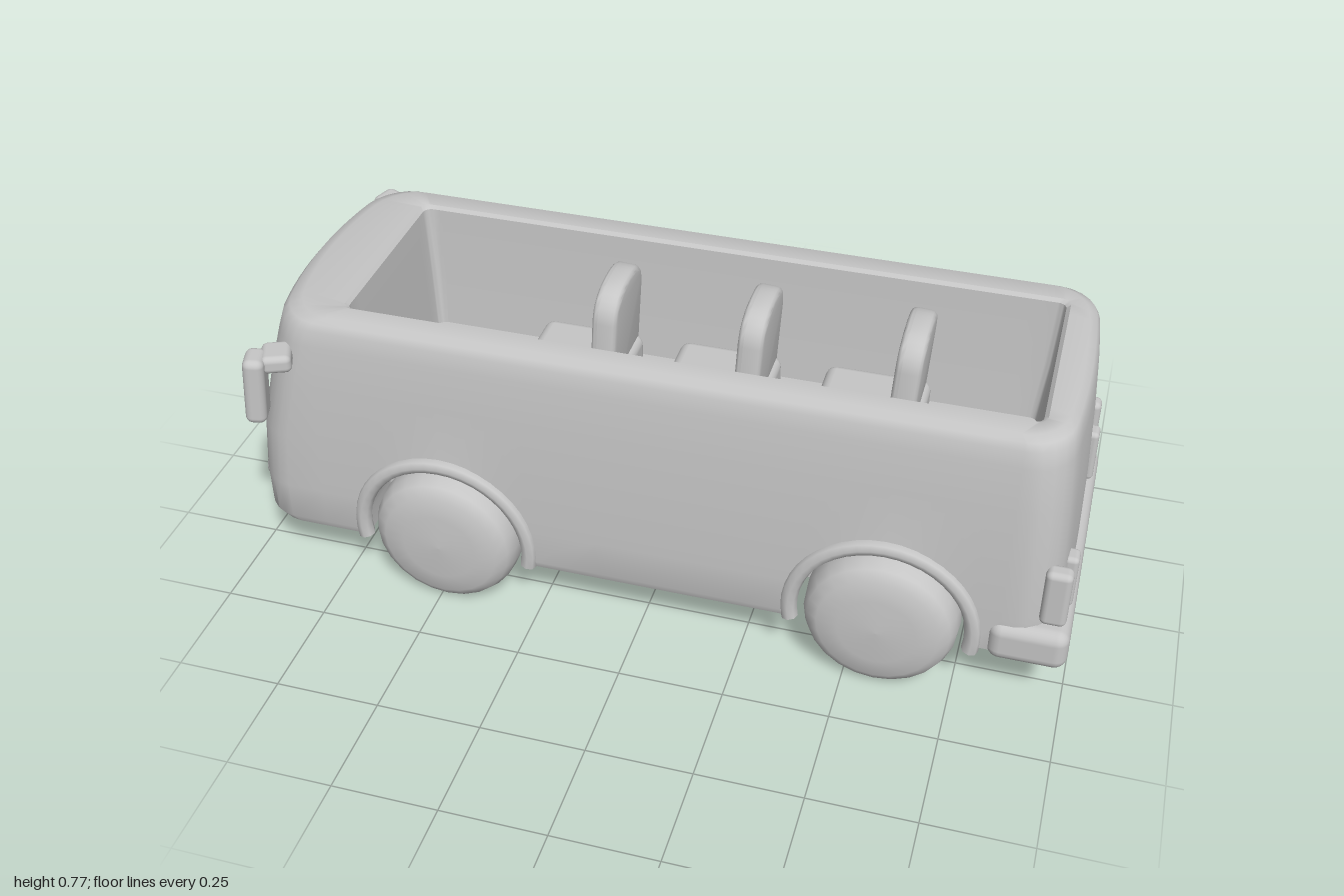
import * as THREE from 'three';
import { toCreasedNormals } from 'three/addons/utils/BufferGeometryUtils.js';
import { RoundedBoxGeometry } from 'three/addons/geometries/RoundedBoxGeometry.js';

const WHEELS = [-0.48, 0.575], WHEEL_Y = 0.18, ARCH_R = 0.205, BASE = 0.135;

// Height of the lower body edge, raised over the wheel arches
function lowerEdge(x) {
  for (const c of WHEELS) {
    const d = Math.abs(x - c);
    if (d < ARCH_R) return WHEEL_Y + Math.sqrt(ARCH_R * ARCH_R - d * d);
  }
  return BASE;
}

// Stations along the side, dense at the arches
const sideX = [-0.8, -0.1, 0.1, 0.25, 0.85];
for (const c of WHEELS) {
  sideX.push(c - ARCH_R - 0.001, c + ARCH_R + 0.001);
  for (let i = 0; i <= 14; i++) sideX.push(c - (ARCH_R - 0.0005) * Math.cos((i / 14) * Math.PI));
}
sideX.sort((a, b) => a - b);

// Rounded plan outline with a bowed nose, anticlockwise from above
function outline(x0, x1, w, r, bow) {
  const half = [];
  const N = 5;
  for (let i = 0; i <= 6; i++) half.push([x0, (w - r) * i / 6]);
  for (let i = 1; i <= N; i++) {
    const a = (i / N) * Math.PI / 2;
    half.push([x0 + r - r * Math.cos(a), w - r + r * Math.sin(a)]);
  }
  for (const x of sideX) half.push([Math.min(Math.max(x, x0 + r), x1 - r), w]);
  for (let i = 0; i <= N; i++) {
    const a = (i / N) * Math.PI / 2;
    half.push([x1 - r + r * Math.sin(a), w - r + r * Math.cos(a)]);
  }
  for (let i = 5; i >= 0; i--) half.push([x1, (w - r) * i / 6]);
  const bent = half.map(([x, z]) => {
    const nose = Math.max(0, 1 - (x - x0) / 0.25), tail = Math.max(0, 1 - (x1 - x) / 0.2);
    return [x + bow * (z / w) ** 2 * (nose - 0.5 * tail), z];
  });
  return bent.concat(bent.slice(1, -1).reverse().map(([x, z]) => [x, -z]));
}

function bodyGeometry() {
  const rings = [];
  const outer = (y, x0, x1, w) => outline(x0, x1, w, 0.09, 0.045)
    .map(([x, z]) => [x, Math.max(y, lowerEdge(x)), z]);
  const foot = outer(BASE, -0.985, 0.965, 0.34);
  const wellZ = z => Math.max(-0.2, Math.min(0.2, z));
  // Underside and wheel wells
  rings.push(foot.map(([x]) => [x, BASE, 0]));
  rings.push(foot.map(([x, , z]) => [x, BASE, wellZ(z)]));
  rings.push(foot.map(([x, y, z]) => [x, y, wellZ(z)]));
  rings.push(foot);
  // Outer walls and rounded roof edge
  for (const s of [
    [0.155, -1, 0.975, 0.348], [0.25, -1, 0.978, 0.348], [0.4, -0.985, 0.975, 0.345],
    [0.55, -0.95, 0.968, 0.336], [0.66, -0.92, 0.96, 0.327], [0.7, -0.908, 0.955, 0.32],
    [0.718, -0.893, 0.947, 0.312], [0.728, -0.865, 0.93, 0.297],
  ]) rings.push(outer(...s));
  // Rim, open cabin and its floor
  for (const [y, x0, x1, w] of [
    [0.728, -0.73, 0.875, 0.245], [0.72, -0.722, 0.866, 0.237],
    [0.55, -0.71, 0.855, 0.228], [0.4, -0.7, 0.84, 0.215],
  ]) rings.push(outline(x0, x1, w, 0.02, 0).map(([x, z]) => [x, y, z]));
  rings.push(rings[rings.length - 1].map(([x, y]) => [x, y, 0]));

  const points = rings.flat().map(p => new THREE.Vector3(...p));
  const n = foot.length, index = [];
  const triangle = new THREE.Triangle();
  // Skip triangles that have collapsed to a line
  const addFace = (a, b, c) => {
    triangle.set(points[a], points[b], points[c]);
    if (triangle.getArea() > 1e-9) index.push(a, b, c);
  };
  for (let i = 0; i < rings.length - 1; i++) {
    for (let j = 0; j < n; j++) {
      const a = i * n + j, b = i * n + (j + 1) % n;
      addFace(a, b, b + n);
      addFace(a, b + n, a + n);
    }
  }
  const g = new THREE.BufferGeometry().setFromPoints(points);
  g.setIndex(index);
  return toCreasedNormals(g, 0.7);
}

export function createModel() {
  const model = new THREE.Group();
  model.name = 'openTopVan';
  const grey = new THREE.MeshStandardMaterial({ color: 0xc6c6c6 });
  grey.name = 'plain grey';

  function add(name, geometry, x = 0, y = 0, z = 0, parent = model) {
    const mesh = new THREE.Mesh(geometry, grey);
    mesh.name = name;
    mesh.position.set(x, y, z);
    parent.add(mesh);
    return mesh;
  }
  const box = (w, h, d, r) => new RoundedBoxGeometry(w, h, d, 3, r);

  add('body', bodyGeometry());
  add('rearBumper', box(0.18, 0.105, 0.725, 0.03), 0.908, 0.188, 0);

  // Wheels with domed faces, and arch flares
  const tyre = new THREE.LatheGeometry([
    [0, -0.088], [0.12, -0.085], [0.155, -0.07], [0.176, -0.04], [0.18, 0], [0.177, 0.04],
    [0.165, 0.065], [0.14, 0.082], [0.09, 0.09], [0, 0.094],
  ].map(p => new THREE.Vector2(...p)), 24);
  tyre.rotateX(Math.PI / 2);
  const flare = new THREE.TorusGeometry(0.212, 0.02, 8, 24, Math.PI * 1.12);
  flare.rotateZ(-Math.PI * 0.06);
  for (const x of WHEELS) {
    for (const s of [1, -1]) {
      const wheel = add('wheel', tyre, x, WHEEL_Y, s * 0.3);
      if (s < 0) wheel.rotation.y = Math.PI;
      add('archFlare', flare, x, WHEEL_Y, s * 0.343);
    }
  }

  // Mirrors and lamps
  for (const s of [1, -1]) {
    const mirror = new THREE.Group();
    mirror.name = 'mirror';
    add('mirrorHousing', box(0.05, 0.175, 0.075, 0.018), -0.9, 0.568, s * 0.383, mirror).rotation.set(0, s * 0.3, -0.08);
    add('mirrorArm', box(0.07, 0.045, 0.08, 0.015), -0.858, 0.63, s * 0.345, mirror).rotation.y = s * 0.4;
    model.add(mirror);
    add('innerTailLamp', box(0.035, 0.14, 0.048, 0.012), 0.972, 0.313, s * 0.235);
    add('outerTailLamp', box(0.06, 0.15, 0.045, 0.015), 0.953, 0.33, s * 0.325);
    const lamp = add('headlamp', new THREE.SphereGeometry(0.035, 14, 10), -0.955, 0.24, s * 0.26);
    lamp.scale.x = 0.6;
  }

  // Seats with round-topped backs
  const back = new THREE.Shape();
  back.moveTo(-0.095, 0);
  back.lineTo(0.095, 0);
  back.lineTo(0.095, 0.27);
  back.bezierCurveTo(0.09, 0.325, 0.05, 0.335, 0, 0.335);
  back.bezierCurveTo(-0.05, 0.335, -0.09, 0.325, -0.095, 0.27);
  const backGeo = toCreasedNormals(new THREE.ExtrudeGeometry(back, {
    depth: 0.03, bevelEnabled: true, bevelThickness: 0.015, bevelSize: 0.013, bevelSegments: 3, curveSegments: 8,
  }), 0.7);
  backGeo.rotateY(Math.PI / 2);
  for (const x of [-0.24, 0.105, 0.465]) {
    const seat = new THREE.Group();
    seat.name = 'seat';
    add('seatCushion', box(0.25, 0.15, 0.215, 0.025), 0, 0.465, 0, seat);
    add('seatBack', backGeo, 0.06, 0.42, 0, seat).rotation.z = -0.06;
    seat.position.set(x, 0, -0.008);
    model.add(seat);
  }
  return model;
}
